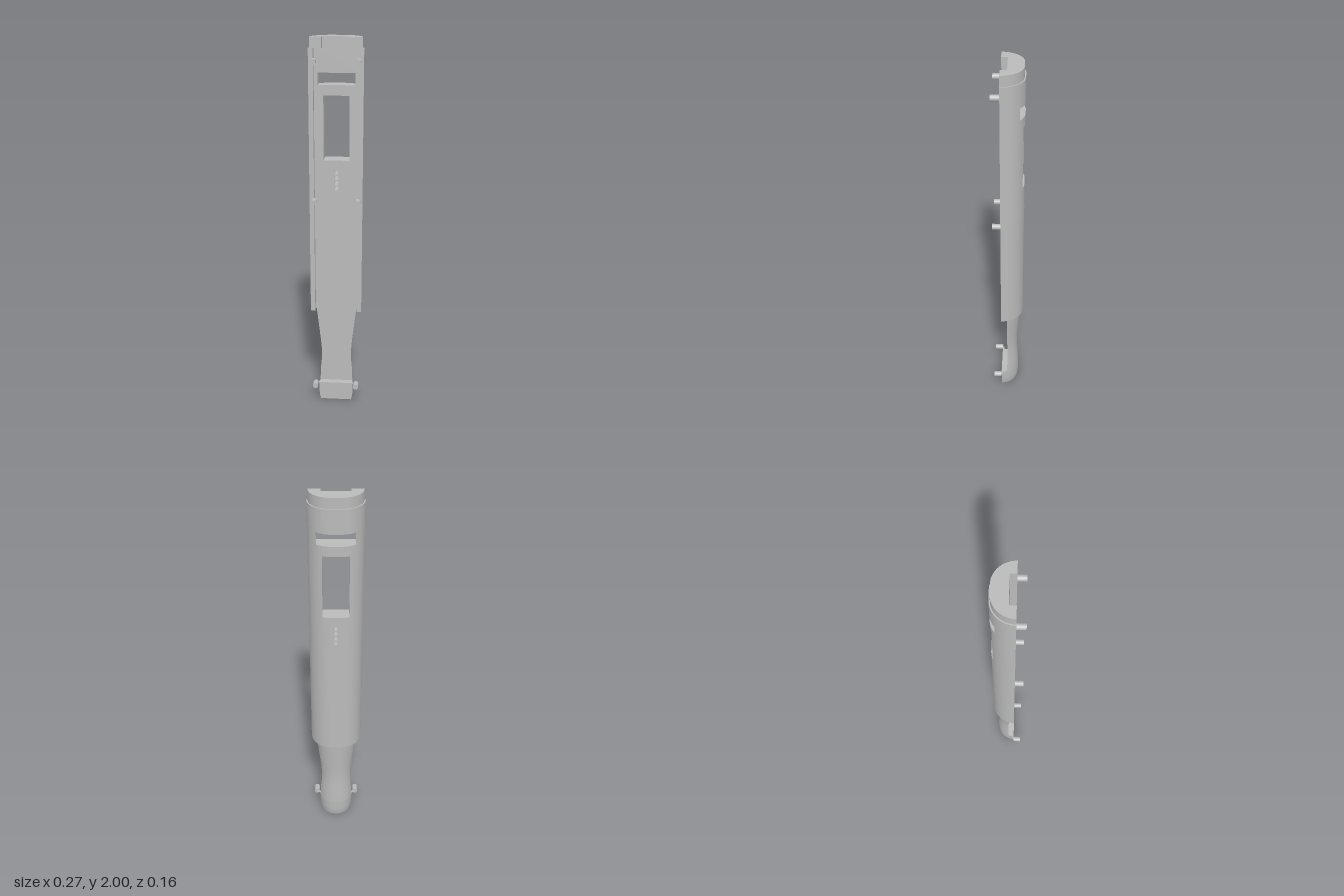
import * as THREE from 'three';
import { toCreasedNormals } from 'three/addons/utils/BufferGeometryUtils.js';

const RIM = 0.037;    // z of the flat mating rim
const FLOOR = 0.005;  // z of the recessed inner face
const C = 0.022;      // half width of the flat strip along the back

export function createModel() {
  const model = new THREE.Group();
  const grey = new THREE.MeshStandardMaterial({ color: 0xbababa });
  grey.name = 'plastic grey';

  const add = (name, geometry) => {
    const mesh = new THREE.Mesh(geometry, grey);
    mesh.name = name;
    model.add(mesh);
    return mesh;
  };

  // Slice of the half-round body between y0..y1 and x0..x1; rims start at |x| = lip
  function slab(name, y0, y1, x0, x1, r = 0.115, lip = 0.113) {
    const back = x => RIM - (r + 0.002) * Math.sqrt(Math.max(0, 1 - (Math.max(Math.abs(x) - C, 0) / r) ** 2));
    const xs = [x0];
    for (const s of [-1, 1]) {
      for (let i = 0; i <= 24; i++) {
        const a = (s < 0 ? 24 - i : i) / 24 * Math.PI / 2;
        const x = s * (C + r * Math.sin(a));
        if (x > x0 + 1e-5 && x < x1 - 1e-5) xs.push(x);
      }
    }
    xs.push(x1);
    const pts = xs.map(x => [x, back(x)]);
    if (x1 > lip) pts.push([lip, RIM], [lip, FLOOR]);
    else pts.push([x1, FLOOR]);
    if (x0 < -lip) pts.push([-lip, FLOOR], [-lip, RIM]);
    else pts.push([x0, FLOOR]);
    const shape = new THREE.Shape(pts.map(([x, z]) => new THREE.Vector2(x, -z)));
    const geo = new THREE.ExtrudeGeometry(shape, { depth: y1 - y0, bevelEnabled: false });
    geo.rotateX(-Math.PI / 2);
    geo.translate(0, y0, 0);
    add(name, toCreasedNormals(geo, 0.5));
  }

  const W = 0.137;
  const sides = (name, y0, y1, gap) => {
    slab(name + 'Right', y0, y1, -W, -gap);
    slab(name + 'Left', y0, y1, gap, W);
  };

  // Body, bottom to top, leaving the window and slot open
  slab('lowerBody', 0.549, 1.21, -W, W);
  sides('lightHoleSide', 1.21, 1.345, C);
  slab('bodyUnderWindow', 1.345, 1.382, -W, W);
  sides('windowSide', 1.382, 1.713, 0.066);
  slab('bodyAboveWindow', 1.713, 1.765, -W, W);
  sides('slotSide', 1.765, 1.825, 0.093);
  slab('upperBody', 1.825, 1.947, -W, W);
  slab('topCollar', 1.947, 2, -0.131, 0.131, 0.109, 0.071);

  // Centre strip pierced by four small round holes
  const strip = new THREE.Shape();
  strip.moveTo(-C, 1.21).lineTo(C, 1.21).lineTo(C, 1.345).lineTo(-C, 1.345).closePath();
  for (let i = 0; i < 4; i++) {
    strip.holes.push(new THREE.Path().absarc(0, 1.233 + i * 0.029, 0.011, 0, Math.PI * 2, true));
  }
  const stripGeo = new THREE.ExtrudeGeometry(strip, { depth: FLOOR + 0.08, bevelEnabled: false, curveSegments: 10 });
  stripGeo.translate(0, 0, -0.08);
  add('lightHoleStrip', toCreasedNormals(stripGeo, 0.7));

  // Half-round loft through rows of [y, half width, depth], cut flat at z = front
  function loft(name, rows, front) {
    const n = 40, pos = [], idx = [];
    for (const [y, w, d] of rows) {
      const t0 = Math.asin((RIM - front) / d);
      for (let i = 0; i <= n; i++) {
        const t = t0 + (Math.PI - 2 * t0) * i / n;
        pos.push(w * Math.cos(t), y, RIM - d * Math.sin(t));
      }
    }
    const m = n + 1, top = (rows.length - 1) * m;
    for (let j = 0; j < rows.length - 1; j++) {
      for (let i = 0; i < m; i++) {
        const a = j * m + i, b = j * m + (i + 1) % m;
        idx.push(a, b, b + m, a, b + m, a + m);
      }
    }
    for (let i = 1; i < n; i++) idx.push(0, i + 1, i, top, top + i, top + i + 1);
    const geo = new THREE.BufferGeometry();
    geo.setAttribute('position', new THREE.Float32BufferAttribute(pos, 3));
    geo.setIndex(idx);
    add(name, toCreasedNormals(geo, 0.6));
  }

  // Waisted handle and rounded end block
  loft('handle', [
    [0.105, 0.096, 0.094], [0.19, 0.093, 0.091], [0.24, 0.088, 0.087], [0.29, 0.087, 0.086],
    [0.36, 0.093, 0.089], [0.45, 0.103, 0.096], [0.55, 0.114, 0.103],
  ], FLOOR);
  loft('endBlock', [
    [0, 0.085, 0.086], [0.02, 0.09, 0.091], [0.045, 0.093, 0.094], [0.105, 0.094, 0.094],
  ], RIM);

  // Alignment pegs on the rim, with a thin web carrying the lowest pair
  for (const y of [0.105, 1.175, 1.885]) {
    for (const x of [-0.112, 0.112]) {
      const peg = add('peg', new THREE.CylinderGeometry(0.015, 0.015, 0.043, 24));
      peg.rotation.x = Math.PI / 2;
      peg.position.set(x, y, 0.0585);
    }
  }
  add('pegWeb', new THREE.BoxGeometry(0.22, 0.005, 0.008)).position.set(0, 0.1025, 0.034);

  return model;
}
